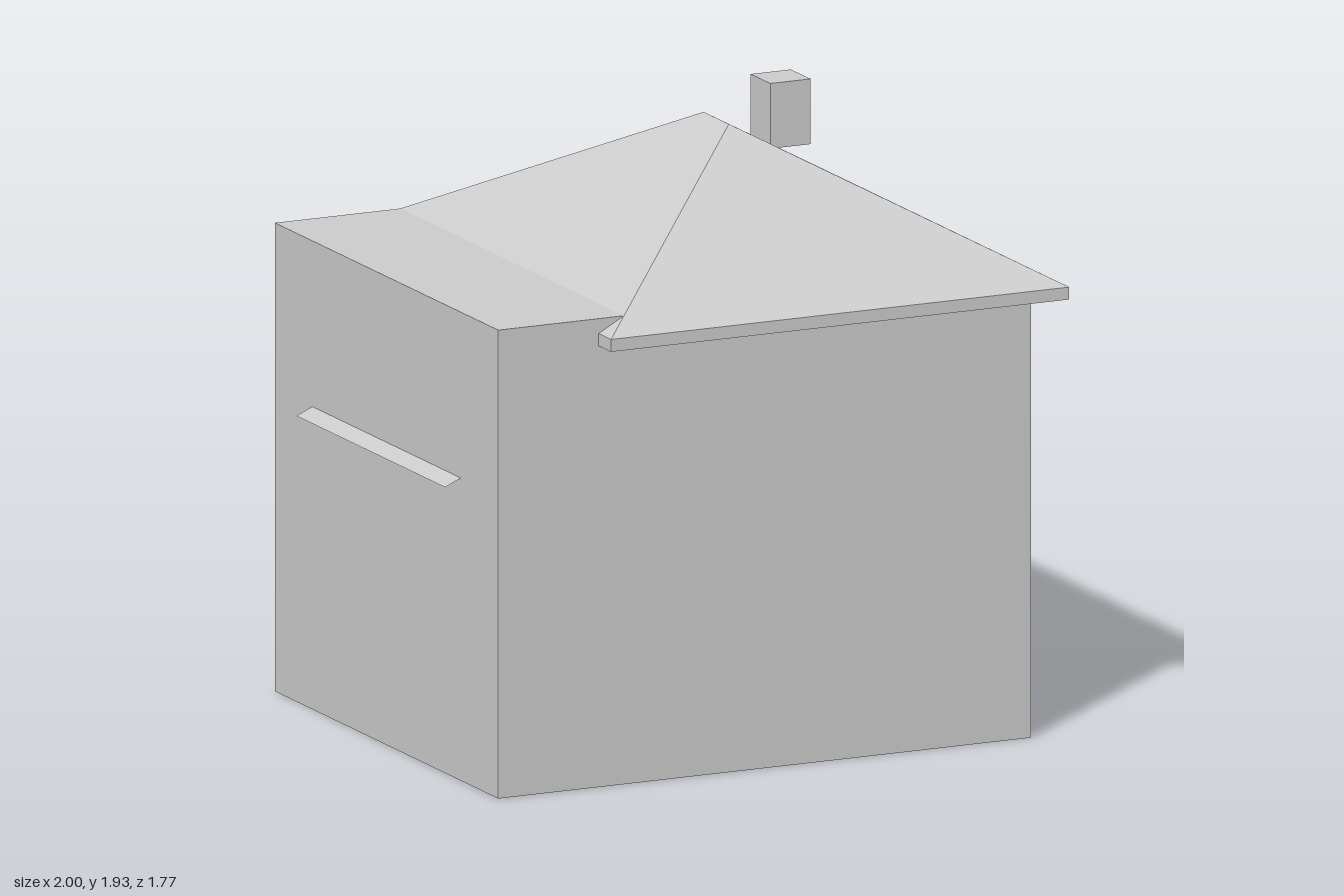
import * as THREE from 'three';

const plaster = new THREE.MeshStandardMaterial({ color: 0xcccccc, side: THREE.DoubleSide });
plaster.name = 'light grey';

// Flat-faced surface from a list of planar polygons, each counter-clockwise from outside.
function surface(name, polygons) {
  const points = [];
  for (const p of polygons) {
    for (let i = 1; i < p.length - 1; i++) points.push(...p[0], ...p[i], ...p[i + 1]);
  }
  const geometry = new THREE.BufferGeometry();
  geometry.setAttribute('position', new THREE.Float32BufferAttribute(points, 3));
  geometry.computeVertexNormals();
  const mesh = new THREE.Mesh(geometry, plaster);
  mesh.name = name;
  return mesh;
}

// Closed box given by its limits.
function box(name, x0, x1, y0, y1, z0, z1) {
  const mesh = new THREE.Mesh(new THREE.BoxGeometry(x1 - x0, y1 - y0, z1 - z0), plaster);
  mesh.position.set((x0 + x1) / 2, (y0 + y1) / 2, (z0 + z1) / 2);
  mesh.name = name;
  return mesh;
}

// Horizontal rectangle of corners, counter-clockwise from above.
const ring = (x0, x1, z, y) => [[x0, y, z], [x1, y, z], [x1, y, -z], [x0, y, -z]];

// Four side faces joining a lower ring to an upper one.
const band = (low, high) => low.map((p, i) => {
  const j = (i + 1) % 4;
  return [p, low[j], high[j], high[i]];
});

export function createModel() {
  const model = new THREE.Group();
  model.name = 'house';
  const left = -0.945, right = 0.91, depth = 0.797, wallTop = 1.508, inner = -0.5;

  // Walls with a flat top and an open bottom
  const top = ring(left, right, depth, wallTop);
  model.add(surface('walls', [...band(ring(left, right, depth, 0), top), top]));

  // Hollow hipped roof: upright fascia, then slopes to a short ridge
  const eave = ring(-0.595, 1, 0.885, 1.46);
  const ridge = ring(0.203, 0.203, 0.09, 1.897);
  model.add(surface('roof', [...band(eave, ridge)]));
  model.add(surface('fascia', band(ring(-0.595, 1, 0.885, 1.42), eave)));

  // Chimney
  model.add(box('chimney', 0.488, 0.628, 1.725, 1.935, -0.338, -0.198));

  // Inner wall between the main room and the side extension
  model.add(surface('innerWall', [
    [[inner, 0, depth], [inner, 0, -depth], [inner, wallTop, -depth], [inner, wallTop, depth]],
  ]));

  // Lean-to inside the extension, its thin sloping roof reaching through the side wall
  const half = 0.53, high = 1.17, low = 0.95, atWall = 0.974;
  model.add(surface('leanToRoof', [
    [[-1, low, half], [inner, high, half], [inner, high, -half], [-1, low, -half]],
  ]));
  for (const z of [-half, half]) {
    model.add(surface('leanToSide', [
      [[left, 0, z], [inner, 0, z], [inner, high, z], [left, atWall, z]],
    ]));
  }

  // Small cabinet on the inside of the front wall
  model.add(box('wallCabinet', -0.32, -0.13, 0.46, 0.83, depth - 0.063, depth - 0.002));

  return model;
}
